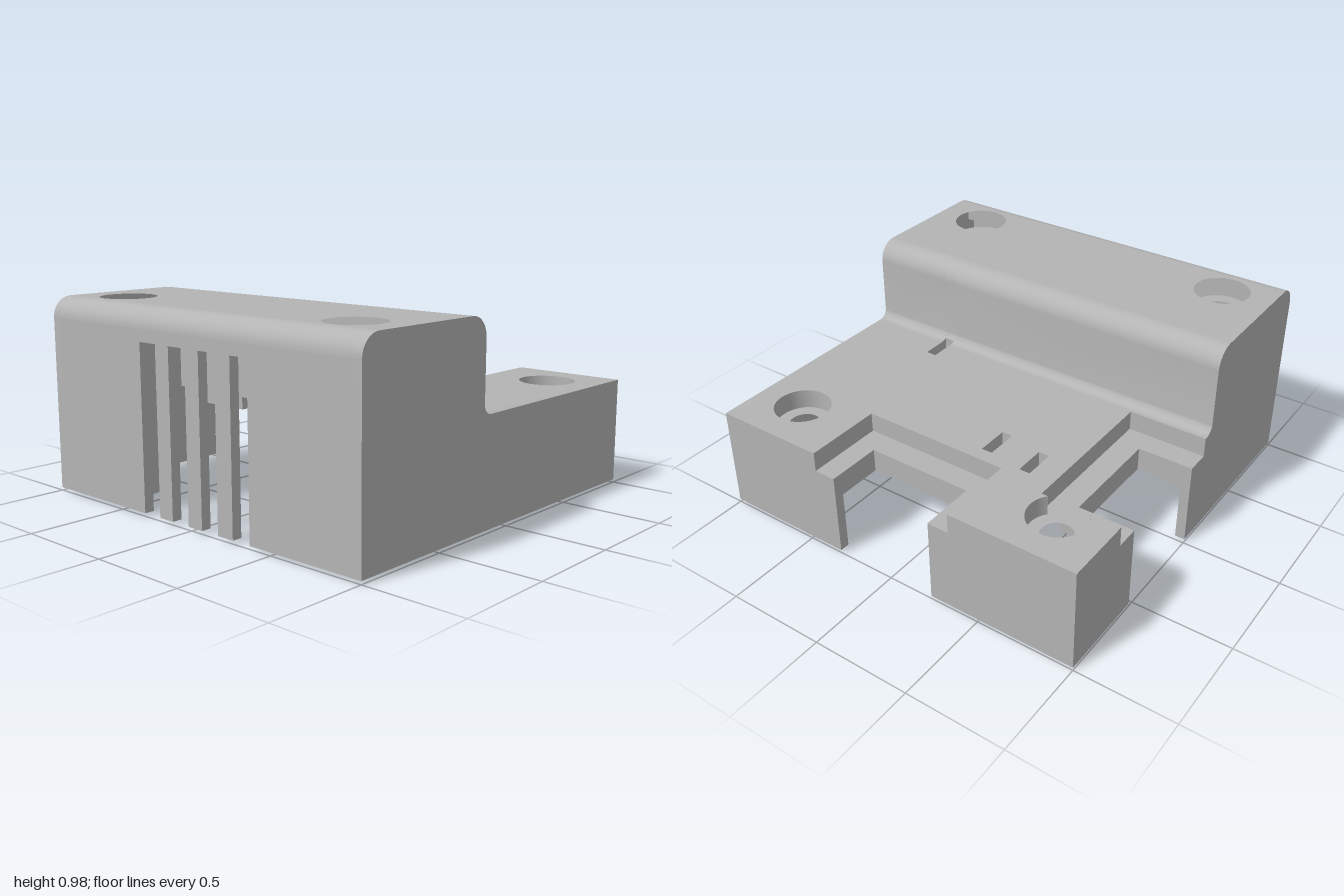
import * as THREE from 'three';
import { toCreasedNormals } from 'three/addons/utils/BufferGeometryUtils.js';

const BASE = 0.015, WALL = 0.05;
const LOW = 0.54, LOW_IN = 0.44, HIGH = 0.98, HIGH_IN = 0.88;

// points on an arc
function arc(cx, cy, r, a0, a1, n = 10) {
  return Array.from({ length: n + 1 }, (_, i) => {
    const a = a0 + (a1 - a0) * i / n;
    return [cx + r * Math.cos(a), cy + r * Math.sin(a)];
  });
}

const circle = (x, z, r) => arc(x, z, r, 0, Math.PI * 2 * 39 / 40, 39);
const rect = (x0, x1, z0, z1) => [[x0, z0], [x1, z0], [x1, z1], [x0, z1]];

export function createModel() {
  const group = new THREE.Group();
  const grey = new THREE.MeshStandardMaterial({ color: 0xb4b4b4 });
  grey.name = 'matte grey';

  const vectors = (pts, sx, sy) => pts.map(([a, b]) => new THREE.Vector2(a * sx, b * sy));
  function extrude(name, pts, holes, sx, sy, depth, place) {
    const shape = new THREE.Shape(vectors(pts, sx, sy));
    holes.forEach(h => shape.holes.push(new THREE.Path(vectors(h, sx, sy))));
    let geo = new THREE.ExtrudeGeometry(shape, { depth, bevelEnabled: false });
    place(geo);
    geo = toCreasedNormals(geo, 0.6);
    const mesh = new THREE.Mesh(geo, grey);
    mesh.name = name;
    group.add(mesh);
  }
  // outline in (x, z), raised from y0 to y1
  const plan = (name, pts, y0, y1, holes = []) =>
    extrude(name, pts, holes, 1, -1, y1 - y0, g => g.rotateX(-Math.PI / 2).translate(0, y0, 0));
  // outline in (z, y), swept from x0 to x1
  const side = (name, pts, x0, x1) =>
    extrude(name, pts, [], -1, 1, x1 - x0, g => g.rotateY(Math.PI / 2).translate(x0, 0, 0));
  // outline in (x, y), swept from z0 to z1
  const face = (name, pts, z0, z1) =>
    extrude(name, pts, [], 1, 1, z1 - z0, g => g.translate(0, 0, z0));

  // side walls follow the stepped silhouette
  const half = Math.PI / 2;
  const skyline = [
    [1, BASE],
    ...arc(0.9, 0.88, 0.1, 0, half),
    ...arc(0.29, 0.88, 0.1, half, Math.PI),
    ...arc(0.14, 0.59, 0.05, 0, -half),
  ];
  side('leftWall', [...skyline, [-1, LOW], [-1, BASE]], 1 - WALL, 1);
  side('rightWall', [...skyline,
    [0.13, LOW], [0.13, LOW_IN], [0.01, LOW_IN], [0.01, BASE]], -1, -1 + WALL);
  side('rightRearWall', [[-0.53, BASE], [-0.53, LOW_IN], [-0.65, LOW_IN],
    [-0.65, LOW], [-1, LOW], [-1, BASE]], -1, -1 + WALL);

  // front wall with four slots open at the bottom
  const front = [[-1, BASE]];
  for (const [a, b] of [[-0.33, -0.22], [-0.13, -0.02], [0.07, 0.175], [0.27, 0.375]]) {
    front.push([a, BASE], [a, 0.82], [b, 0.82], [b, BASE]);
  }
  front.push([1, BASE], [1, HIGH_IN], [-1, HIGH_IN]);
  face('slottedFrontWall', front, 1 - WALL, 1);

  // back wall on both sides of the opening
  face('backWallLeft', [[0.31, BASE], [1, BASE], [1, LOW], [0.42, LOW],
    [0.42, LOW_IN], [0.31, LOW_IN]], -1, -1 + WALL);
  face('backWallRight', [[-1, BASE], [-0.24, BASE], [-0.24, LOW_IN],
    [-0.35, LOW_IN], [-0.35, LOW], [-1, LOW]], -1, -1 + WALL);

  // tall roof, its rounded front edge and the step down to the low roof
  plan('tallRoof', rect(-1, 1, 0.29, 0.9), HIGH_IN, HIGH,
    [-0.74, 0.74].map(x => circle(x, 0.74, 0.14)));
  side('roundedFrontEdge', [...arc(0.9, 0.88, 0.1, 0, half), [0.9, HIGH_IN]], -1, 1);
  const step = (x0, x1, zEnd, aEnd) => side('stepWall', [
    ...arc(0.29, 0.88, 0.1, half, Math.PI),
    ...arc(0.14, 0.59, 0.05, 0, aEnd),
    [zEnd, LOW_IN], [0.25, LOW_IN], [0.25, HIGH_IN], [0.29, HIGH_IN]], x0, x1);
  step(-1, 0.51, 0.14, -half);
  step(0.51, 0.565, 0.17, -Math.acos(0.6));
  step(0.565, 1, 0.14, -half);

  // low roof with recess notches, a screw recess breaking into one, and small slots
  const cut = Math.atan2(0.09, 0.107);
  plan('lowRoof', [
    [-1, 0.14], [0.51, 0.14], [0.51, 0.01], [0.565, 0.01], [0.565, 0.14], [1, 0.14],
    [1, -1], [0.42, -1], [0.42, -0.6], [-0.35, -0.6], [-0.35, -1], [-1, -1], [-1, -0.65],
    ...arc(-0.74, -0.74, 0.14, Math.PI - cut, 2 * Math.PI + cut, 32),
    [-0.6, -0.65], [-0.6, 0.13], [-1, 0.13],
  ], LOW_IN, LOW, [
    circle(0.74, -0.74, 0.14),
    rect(-0.475, -0.42, -0.56, -0.4),
    rect(-0.245, -0.19, -0.53, -0.365),
  ]);

  // ledges around the back and right openings, with a thicker lip below
  const backLedge = (name, x0, x1, z, y0, y1) => plan(name, [
    [x0, -1], [-0.24, -1], [-0.24, -0.72], [0.31, -0.72], [0.31, -1],
    [x1, -1], [x1, z], [x0, z]], y0, y1);
  const rightLedge = (name, z0, z1, x, y0, y1) => plan(name, [
    [-1, z0], [-1, -0.53], [-0.72, -0.53], [-0.72, 0.01], [-1, 0.01],
    [-1, z1], [x, z1], [x, z0]], y0, y1);
  backLedge('backLedge', -0.36, 0.43, -0.59, 0.42, LOW_IN);
  backLedge('backLip', -0.3, 0.36, -0.66, 0.32, 0.42);
  rightLedge('rightLedge', -0.66, 0.14, -0.59, 0.42, LOW_IN);
  rightLedge('rightLip', -0.59, 0.07, -0.66, 0.32, 0.42);

  // hollow screw posts, ending as the floors of the screw recesses
  for (const x of [-0.74, 0.74]) {
    for (const [z, top] of [[0.74, HIGH_IN], [-0.74, LOW_IN]]) {
      plan('screwPost', circle(x, z, 0.142), 0, top, [circle(x, z, 0.077)]);
    }
  }
  return group;
}
